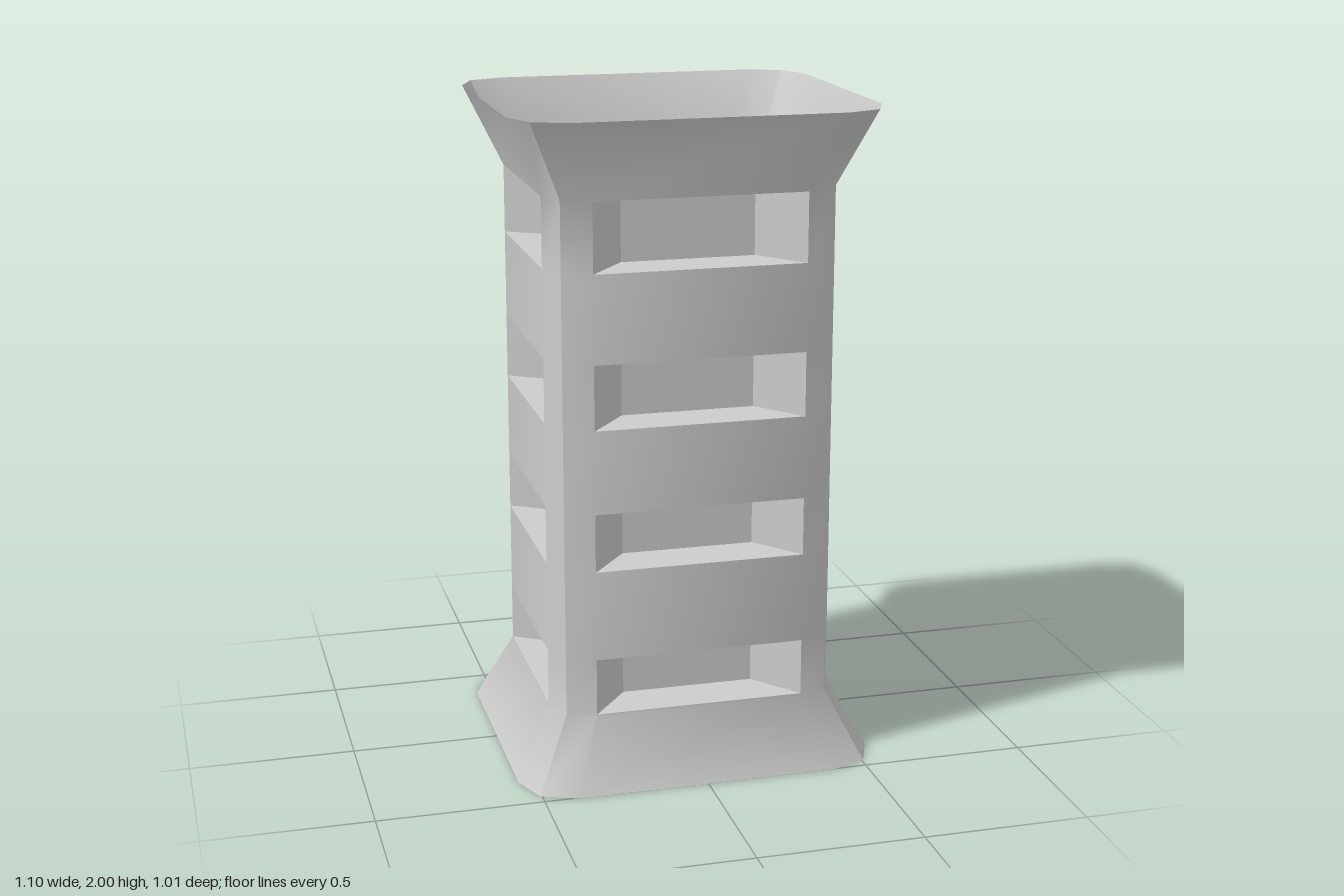
import * as THREE from 'three';
import { toCreasedNormals } from 'three/addons/utils/BufferGeometryUtils.js';

// Cross-section of the shaft: a rectangle with two-facet corners, counter-clockwise from the front face
const corner = [[0.318, 0.404], [0.404, 0.37], [0.44, 0.282]];
const flip = ([x, z]) => [x, -z];
const half = [...corner, ...corner.map(flip).reverse()];
const section = [...half, ...half.map(([x, z]) => [-x, -z])];
const FLARE = 1.25;
const INSET = 0.635;

// Bottom and top of each row of recesses
const windows = [[0.217, 0.39], [0.665, 0.842], [1.095, 1.29], [1.555, 1.763]];
const NECK = [0.212, 1.763];

function ring(y, scale = 1) {
  return section.map(([x, z]) => new THREE.Vector3(x * scale, y, z * scale));
}

// Collect quads and turn them into a creased geometry
function quadMesh(name, quads, material) {
  const points = quads.flatMap(([a, b, c, d]) => [a, b, c, a, c, d]);
  const geometry = new THREE.BufferGeometry().setFromPoints(points);
  const mesh = new THREE.Mesh(toCreasedNormals(geometry, THREE.MathUtils.degToRad(35)), material);
  mesh.name = name;
  return mesh;
}

export function createModel() {
  const group = new THREE.Group();
  group.name = 'windowedTower';
  const material = new THREE.MeshStandardMaterial({ color: 0xcccccc, side: THREE.DoubleSide });
  const count = section.length;
  // The long faces follow the last point of one corner and the first of the next
  const faceIndices = [];
  section.forEach(([x, z], i) => {
    const [nx, nz] = section[(i + 1) % count];
    if (x === nx || z === nz) faceIndices.push(i);
  });

  // Thin shell with flared ends, leaving the window openings free
  const heights = [...new Set([0, ...NECK, ...windows.flat(), 2])].sort((a, b) => a - b);
  const rings = heights.map((y) => ring(y, y === 0 || y === 2 ? FLARE : 1));
  const shell = [];
  for (let r = 0; r < rings.length - 1; r++) {
    const isWindowRow = windows.some(([bottom]) => bottom === heights[r]);
    for (let i = 0; i < count; i++) {
      if (isWindowRow && faceIndices.includes(i)) continue;
      const j = (i + 1) % count;
      shell.push([rings[r][i], rings[r][j], rings[r + 1][j], rings[r + 1][i]]);
    }
  }
  group.add(quadMesh('shell', shell, material));

  // Recesses narrowing inwards to a closed back
  for (const [bottom, top] of windows) {
    const quads = [];
    const [lo, hi] = [ring(bottom), ring(top)];
    const [loIn, hiIn] = [ring(bottom, INSET), ring(top, INSET)];
    for (const i of faceIndices) {
      const j = (i + 1) % count;
      const outer = [lo[i], lo[j], hi[j], hi[i]];
      const inner = [loIn[i], loIn[j], hiIn[j], hiIn[i]];
      quads.push(inner);
      for (let k = 0; k < 4; k++) {
        const n = (k + 1) % 4;
        quads.push([outer[k], outer[n], inner[n], inner[k]]);
      }
    }
    group.add(quadMesh('recessRow', quads, material));
  }
  return group;
}
